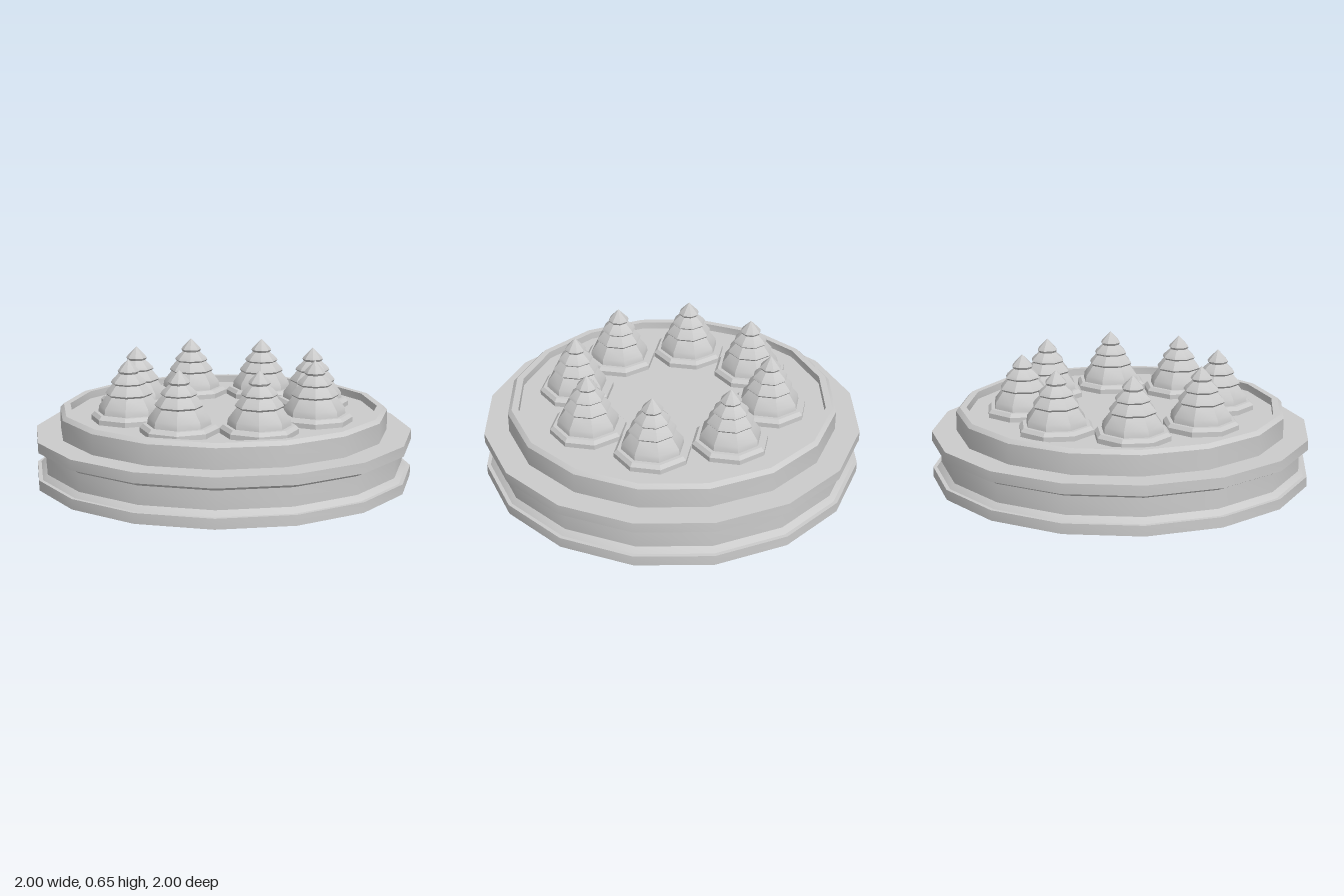
import * as THREE from 'three';
import { toCreasedNormals } from 'three/addons/utils/BufferGeometryUtils.js';

const material = new THREE.MeshStandardMaterial({ color: 0xcccccc });

// Turned part: round sides of the base stay smooth, sharper edges stay crisp
function turned(name, profile, sides) {
  const points = profile.map(([r, y]) => new THREE.Vector2(r, y));
  const geometry = toCreasedNormals(new THREE.LatheGeometry(points, sides), 0.5);
  const mesh = new THREE.Mesh(geometry, material);
  mesh.name = name;
  return mesh;
}

export function createModel() {
  const model = new THREE.Group();
  model.name = 'spikedPedestal';
  const floorY = 0.335;

  // Grooved base with a raised rim around a sunken floor
  model.add(turned('base', [
    [0, 0], [1, 0], [1, 0.053], [0.98, 0.053],
    [0.955, 0.08], [0.955, 0.175], [0.975, 0.197], [1, 0.197],
    [1, 0.25], [0.87, 0.25], [0.87, 0.355], [0.85, 0.375],
    [0.815, 0.375], [0.815, floorY], [0, floorY],
  ], 16));

  // Tiered eight-sided spire: flange, body, three eaves and a pointed tip
  const spire = turned('spire', [
    [0.197, floorY], [0.197, 0.36], [0.18, 0.378], [0.16, 0.378],
    [0.155, 0.41], [0.113, 0.465],
    [0.122, 0.475], [0.115, 0.487], [0.083, 0.523],
    [0.092, 0.532], [0.085, 0.545], [0.048, 0.578],
    [0.056, 0.59], [0.048, 0.603], [0, 0.652],
  ], 8);

  // Ring of spires
  const ring = new THREE.Group();
  ring.name = 'spireRing';
  for (let i = 0; i < 8; i++) {
    const angle = (i + 0.5) * Math.PI / 4;
    const copy = spire.clone();
    copy.name = `spire${i + 1}`;
    copy.position.set(0.518 * Math.cos(angle), 0, 0.518 * Math.sin(angle));
    ring.add(copy);
  }
  model.add(ring);
  return model;
}
